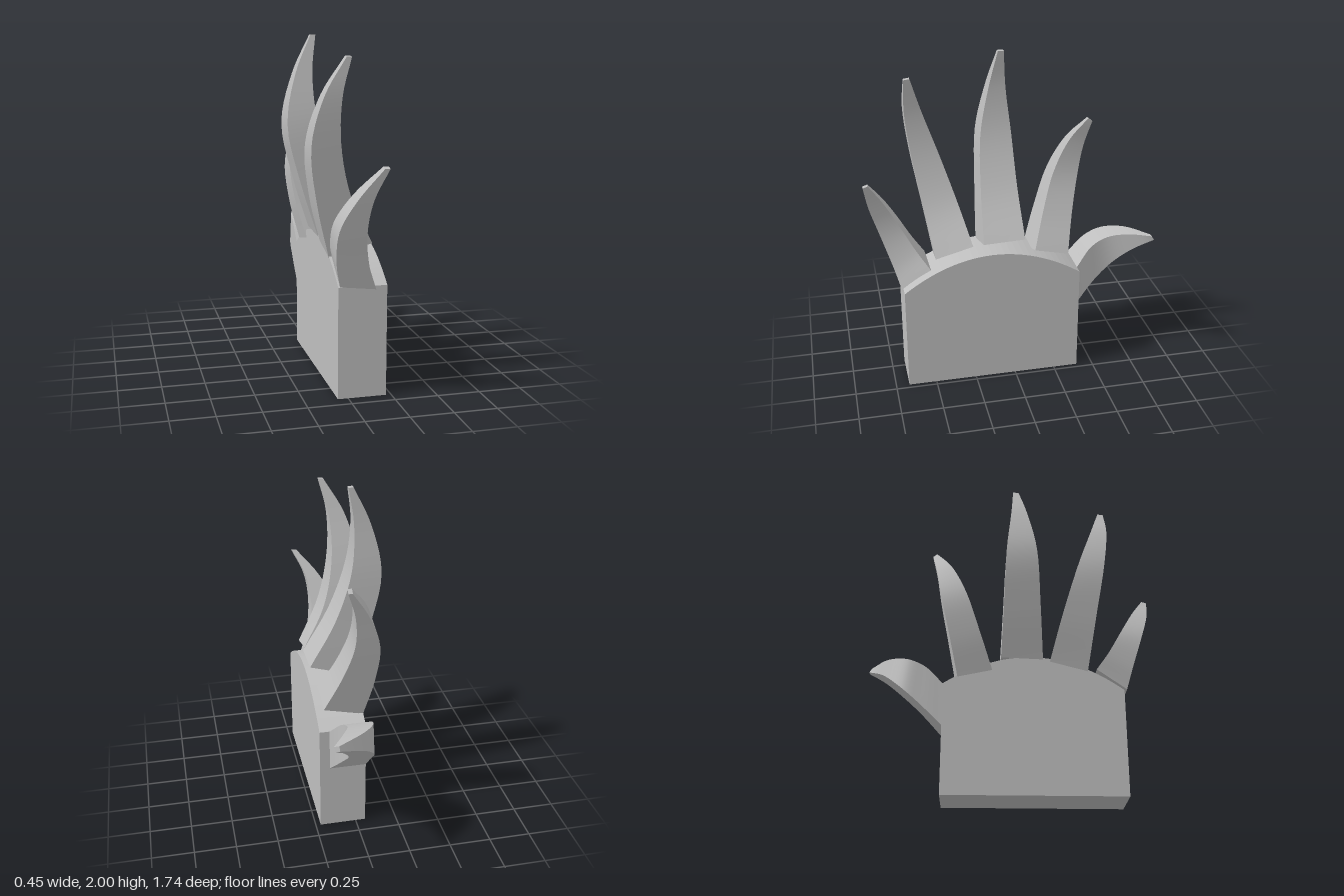
import * as THREE from 'three';

const grey = new THREE.MeshStandardMaterial({ color: 0xbebebe });
grey.name = 'stone grey';

// Upright slab with an arched top, drawn in the z-y plane and extruded along x
function makeBase() {
  const s = new THREE.Shape();
  s.moveTo(-0.4, 0);
  s.lineTo(0.67, 0);
  s.lineTo(0.67, 0.64);
  s.quadraticCurveTo(0.15, 1.03, -0.4, 0.67);
  s.closePath();
  const geo = new THREE.ExtrudeGeometry(s, { depth: 0.28, bevelEnabled: false, curveSegments: 28 });
  geo.rotateY(-Math.PI / 2).translate(0.22, 0, 0);
  const mesh = new THREE.Mesh(geo, grey);
  mesh.name = 'archedBase';
  return mesh;
}

// Four-sided curved spike. Each ring is [zLeft, yLeft, zRight, yRight, xOuter, xInner];
// drop slides the outer root corners back along the spike.
function makeSpike(name, rings, drop) {
  const last = rings.length - 1, steps = 20;
  const mid = r => new THREE.Vector3(0, (r[1] + r[3]) / 2, (r[0] + r[2]) / 2);
  const axis = mid(rings[last]).sub(mid(rings[0])).normalize();
  const corner = (side, outer) => new THREE.CatmullRomCurve3(rings.map((r, i) => {
    const p = new THREE.Vector3(outer ? r[4] : r[5], r[side + 1], r[side]);
    if (outer) p.addScaledVector(axis, -drop * Math.max(0, 1 - 1.6 * i / last));
    return p;
  }));
  const edges = [corner(0, true), corner(2, true), corner(2, false), corner(0, false)];

  const pos = [], index = [];
  // Separate strip per side: smooth lengthwise, sharp along the edges
  for (let k = 0; k < 4; k++) {
    const start = pos.length / 3;
    for (let i = 0; i <= steps; i++) {
      pos.push(...edges[k].getPoint(i / steps).toArray(), ...edges[(k + 1) % 4].getPoint(i / steps).toArray());
      if (i < steps) {
        const a = start + i * 2, b = a + 1, a1 = a + 2, b1 = a + 3;
        index.push(b, a, a1, b, a1, b1);
      }
    }
  }
  // Root and tip caps
  for (const t of [0, 1]) {
    const c = pos.length / 3;
    for (const e of edges) pos.push(...e.getPoint(t).toArray());
    if (t) index.push(c + 3, c + 2, c + 1, c + 3, c + 1, c);
    else index.push(c, c + 1, c + 2, c, c + 2, c + 3);
  }
  const geo = new THREE.BufferGeometry();
  geo.setAttribute('position', new THREE.Float32BufferAttribute(pos, 3));
  geo.setIndex(index);
  geo.computeVertexNormals();
  const mesh = new THREE.Mesh(geo, grey);
  mesh.name = name;
  return mesh;
}

export function createModel() {
  const model = new THREE.Group();
  model.name = 'spikedCrest';
  model.add(makeBase());

  model.add(makeSpike('frontSpike', [
    [0.675, 0.62, 0.5, 0.745, -0.055, 0.155],
    [0.72, 0.77, 0.575, 0.85, -0.085, 0.10],
    [0.785, 0.97, 0.66, 1.0, -0.085, 0.07],
    [0.84, 1.15, 0.75, 1.17, 0, 0.09],
    [0.87, 1.315, 0.84, 1.325, 0.135, 0.165],
  ], -0.03));

  model.add(makeSpike('tallFrontSpike', [
    [0.475, 0.835, 0.25, 0.895, -0.06, 0.19],
    [0.52, 1.12, 0.32, 1.14, -0.14, 0.05],
    [0.57, 1.42, 0.41, 1.42, -0.185, -0.02],
    [0.6, 1.68, 0.5, 1.68, -0.12, -0.02],
    [0.6, 1.885, 0.565, 1.89, 0, 0.03],
  ], 0.08));

  model.add(makeSpike('middleSpike', [
    [0.19, 0.91, -0.06, 0.92, -0.06, 0.21],
    [0.175, 1.2, -0.045, 1.2, -0.16, 0.05],
    [0.155, 1.5, -0.03, 1.5, -0.23, -0.05],
    [0.10, 1.78, 0, 1.78, -0.17, -0.07],
    [0.05, 2.0, 0.015, 2.0, -0.07, -0.04],
  ], 0.08));

  model.add(makeSpike('rearSpike', [
    [-0.13, 0.825, -0.335, 0.78, -0.06, 0.18],
    [-0.2, 1.03, -0.38, 1.0, -0.115, 0.08],
    [-0.275, 1.25, -0.425, 1.22, -0.13, 0.015],
    [-0.365, 1.45, -0.455, 1.41, -0.06, 0.02],
    [-0.465, 1.6, -0.49, 1.58, 0.045, 0.07],
  ], 0.07));

  model.add(makeSpike('lowRearSpike', [
    [-0.4, 0.67, -0.4, 0.41, -0.06, 0.16],
    [-0.505, 0.775, -0.53, 0.54, -0.06, 0.11],
    [-0.61, 0.825, -0.645, 0.645, -0.05, 0.10],
    [-0.73, 0.855, -0.755, 0.75, 0.03, 0.15],
    [-0.85, 0.865, -0.865, 0.84, 0.195, 0.225],
  ], 0));

  return model;
}
